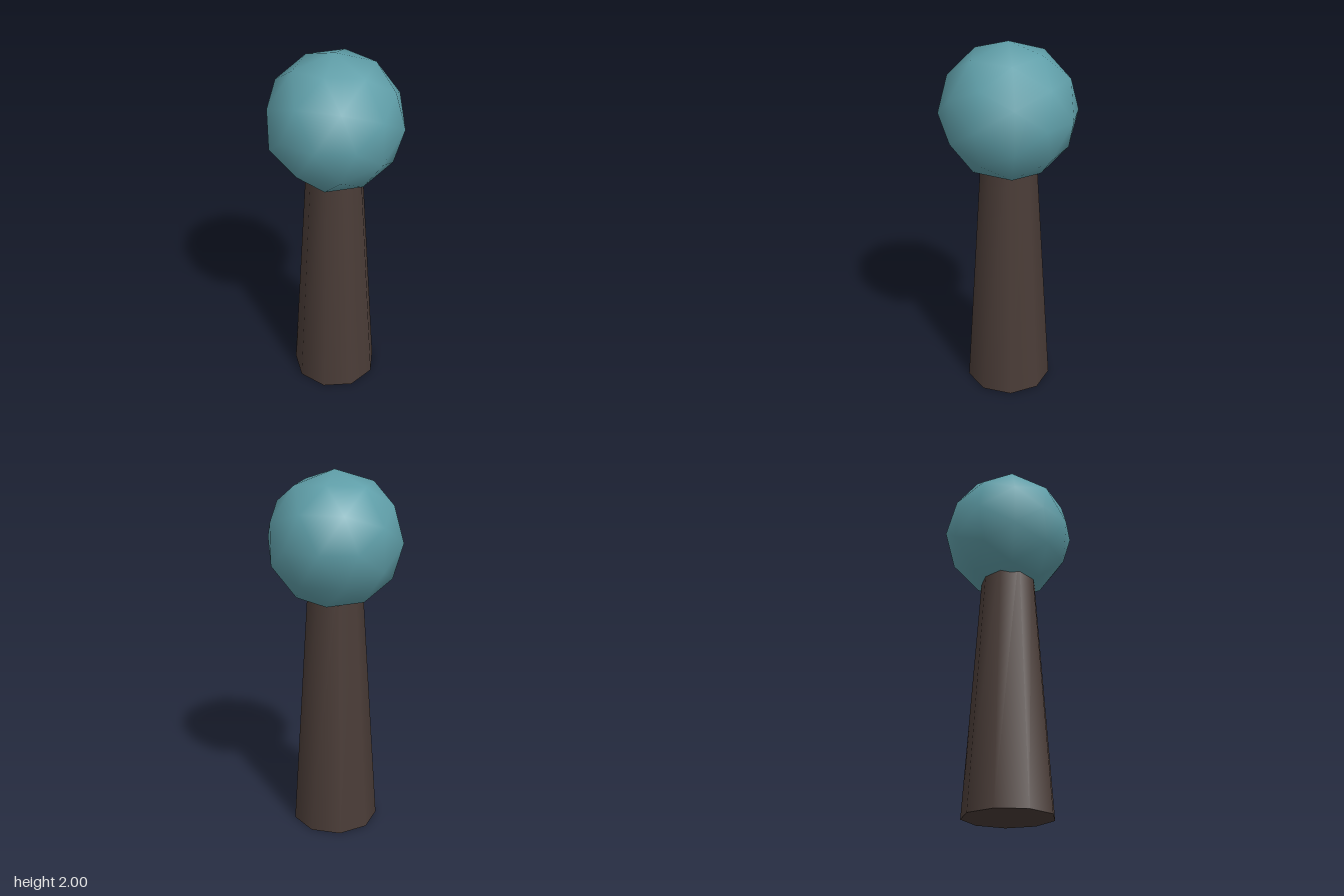
import * as THREE from 'three';

// Proportions: trunk base radius 1, trunk height 6, crown radius 1.5, total 8.25
const UNIT = 2 / 8.25;

function addPart(group, name, geometry, color, y) {
  const mesh = new THREE.Mesh(geometry, new THREE.MeshStandardMaterial({ color }));
  mesh.name = name;
  mesh.position.y = y * UNIT;
  group.add(mesh);
  return mesh;
}

export function createModel() {
  const tree = new THREE.Group();
  tree.name = 'tree';

  // Nine-sided tapered trunk, its top sunk into the crown
  addPart(tree, 'trunk', new THREE.CylinderGeometry(0.6 * UNIT, UNIT, 6 * UNIT, 9), 0x4a3c37, 3);

  // Round crown: once-subdivided icosahedron with smooth normals
  const crown = addPart(tree, 'crown', new THREE.IcosahedronGeometry(1.5 * UNIT, 1), 0x5f9ea8, 6.75);
  crown.rotation.y = Math.PI / 2;

  return tree;
}
